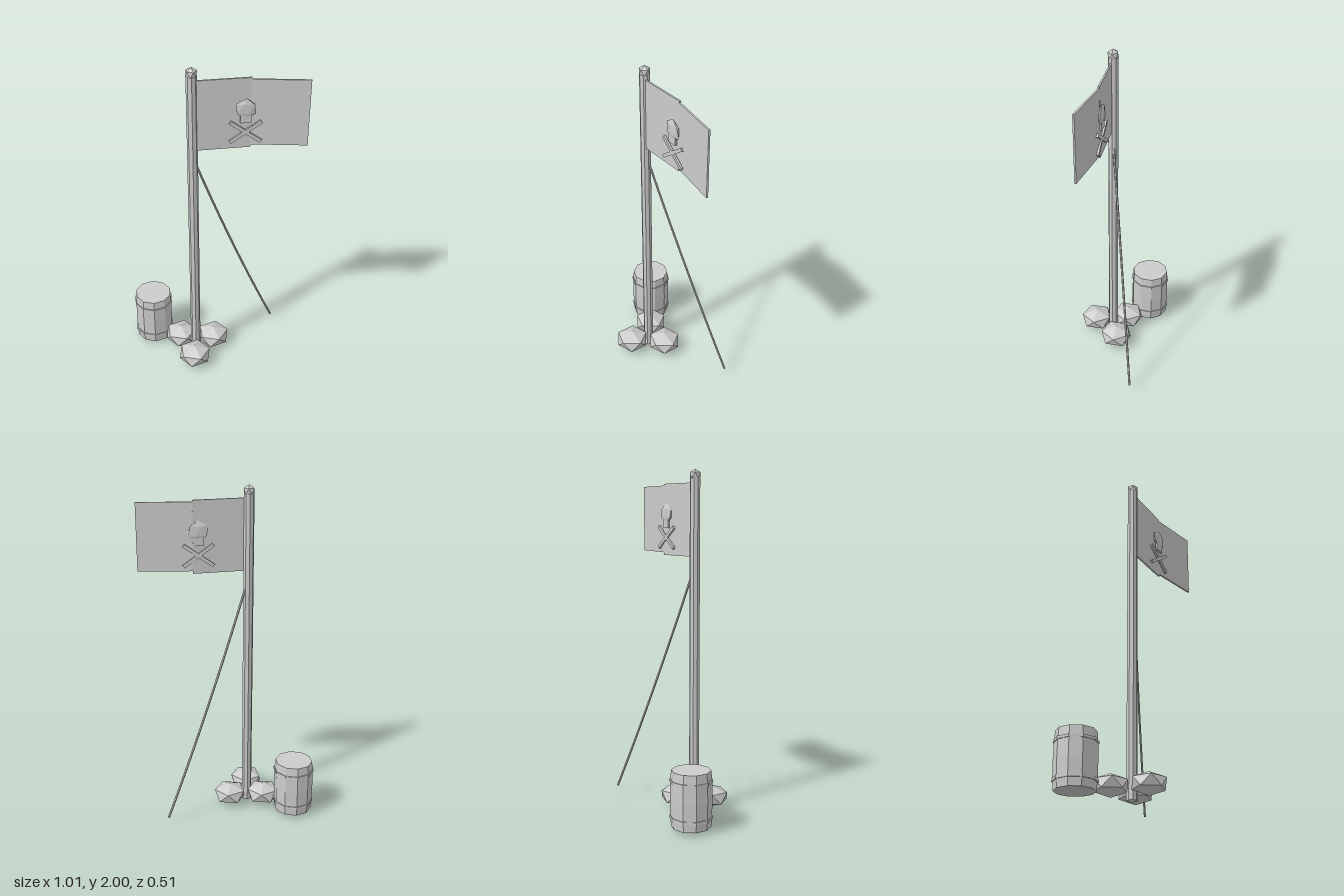
import * as THREE from 'three';

export function createModel() {
  const group = new THREE.Group();
  const grey = new THREE.MeshStandardMaterial({ color: 0xcccccc, flatShading: true });
  grey.name = 'plain grey';

  const add = (name, geometry, x, y, z, parent = group) => {
    const mesh = new THREE.Mesh(geometry, grey);
    mesh.name = name;
    mesh.position.set(x, y, z);
    parent.add(mesh);
    return mesh;
  };
  // Icosahedron standing on one vertex
  const gem = (r, squash = 1) =>
    new THREE.IcosahedronGeometry(r).rotateZ(-0.5536).scale(1, squash, 1).rotateY(0.05);

  // Pole and finial
  const px = -0.13, pz = 0.045;
  add('pole', new THREE.CylinderGeometry(0.03, 0.03, 1.95, 8), px, 0.975, pz);
  add('finial', gem(0.035), px, 1.965, pz);

  // Flag: two thin panels meeting at a shallow angle
  const panel = (name, x0, z0, x1, z1, y0, y1) => {
    const length = Math.hypot(x1 - x0, z1 - z0);
    const mesh = add(name, new THREE.BoxGeometry(length, y1 - y0, 0.01),
      (x0 + x1) / 2, (y0 + y1) / 2, (z0 + z1) / 2);
    mesh.rotation.y = -Math.atan2(z1 - z0, x1 - x0);
  };
  panel('flagInnerPanel', -0.115, 0.052, 0.192, 0.034, 1.505, 1.925);
  panel('flagOuterPanel', 0.188, 0.034, 0.504, 0.073, 1.52, 1.915);

  // Skull and crossed bones on both faces of the flag
  for (const [side, z] of [['front', 0.056], ['back', 0.028]]) {
    const emblem = new THREE.Group();
    emblem.name = side + 'Emblem';
    emblem.position.set(0.16, 0, z);
    group.add(emblem);
    add('skull', new THREE.IcosahedronGeometry(0.064).rotateZ(0.5).scale(1, 0.97, 0.19),
      0, 1.75, 0, emblem);
    add('jaw', new THREE.BoxGeometry(0.06, 0.05, 0.012), 0, 1.692, 0, emblem);
    for (const s of [-1, 1]) {
      add('bone', new THREE.BoxGeometry(0.21, 0.02, 0.012), 0, 1.61, 0, emblem)
        .rotation.z = s * 0.62;
    }
  }

  // Stay rope with a slight sag
  const rope = new THREE.QuadraticBezierCurve3(
    new THREE.Vector3(-0.11, 1.4, 0.037),
    new THREE.Vector3(0.125, 0.69, -0.08),
    new THREE.Vector3(0.388, 0.05, -0.197));
  add('rope', new THREE.TubeGeometry(rope, 10, 0.007, 6), 0, 0, 0);

  // Stones around the foot of the pole
  for (const [x, z] of [[-0.015, -0.005], [-0.22, -0.03], [-0.145, 0.162]]) {
    add('stone', gem(0.106, 0.62), x, 0.074, z);
  }

  // Ten-sided barrel with two hoops
  const barrel = new THREE.Group();
  barrel.name = 'barrel';
  barrel.position.set(-0.389, 0, -0.138);
  group.add(barrel);
  const profile = [[0, 0.02], [0.113, 0.02], [0.117, 0.07], [0.119, 0.18],
    [0.117, 0.29], [0.112, 0.345], [0, 0.345]].map(p => new THREE.Vector2(...p));
  add('barrelBody', new THREE.LatheGeometry(profile, 10), 0, 0, 0, barrel);
  for (const y of [0.075, 0.285]) {
    add('hoop', new THREE.CylinderGeometry(0.122, 0.122, 0.016, 10), 0, y, 0, barrel);
  }
  return group;
}
